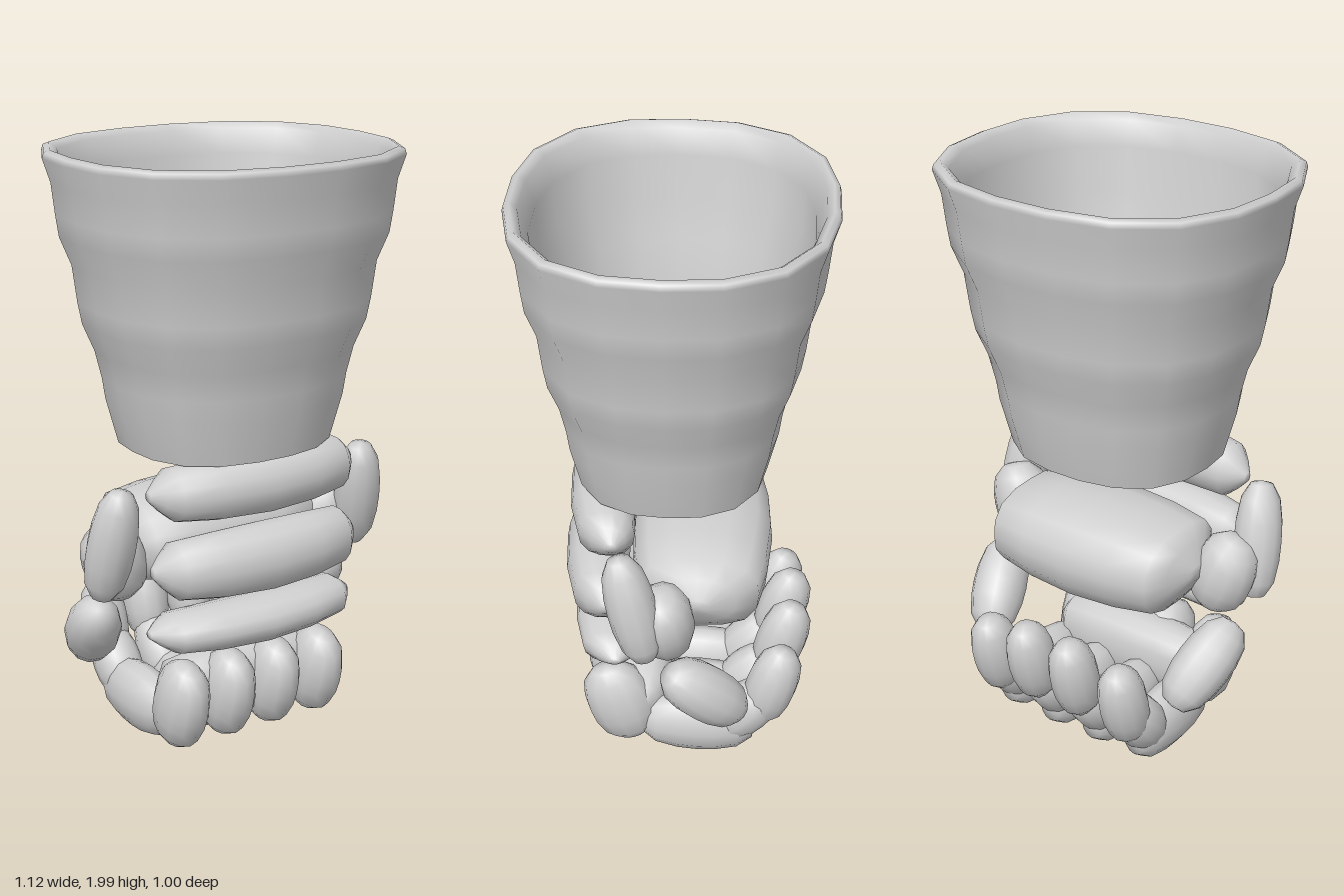
import * as THREE from 'three';
import { mergeVertices } from 'three/addons/utils/BufferGeometryUtils.js';

const steel = new THREE.MeshStandardMaterial({ color: 0xd0d0d0, side: THREE.DoubleSide });
steel.name = 'steel';

const UP = new THREE.Vector3(0, 1, 0);

// Unit plate bodies: revolved profiles of half-length 1 and radius 1,
// with an optional squarer section (power above 2) and an optional backward bow
function revolve(half, sides, power = 2, bow = 0) {
  const pts = [];
  half.forEach(([r, t]) => pts.push(new THREE.Vector2(r, -t)));
  half.slice(0, -1).reverse().forEach(([r, t]) => pts.push(new THREE.Vector2(r, t)));
  const geo = new THREE.LatheGeometry(pts, sides);
  const p = geo.attributes.position;
  for (let i = 0; i < p.count; i++) {
    const x = p.getX(i), y = p.getY(i), z = p.getZ(i), r = Math.hypot(x, z) || 1;
    const k = r === 1 && x === 0 && z === 0 ? 1
      : Math.pow(Math.abs(x / r) ** power + Math.abs(z / r) ** power, -1 / power);
    p.setXYZ(i, x * k, y, z * k - bow * y * y);
  }
  return smooth(geo);
}

// Welds seams and recomputes smooth normals
function smooth(geo) {
  geo.deleteAttribute('uv');
  geo.deleteAttribute('normal');
  const welded = mergeVertices(geo, 1e-4);
  welded.computeVertexNormals();
  return welded;
}

const barProfile = [[0, 1], [0.16, 1], [0.52, 0.91], [0.84, 0.81], [0.95, 0.45], [1, 0]];
const podShape = revolve([[0, 1], [0.47, 0.95], [0.82, 0.7], [0.97, 0.32], [1, 0]], 12);
const barShape = revolve(barProfile, 14, 2.2, 0.5);
const palmShape = revolve(barProfile, 16, 2.8);

// Places a plate by centre, axis direction, half-length and two cross radii
function plate(name, shape, centre, axis, len, rx, rz) {
  const mesh = new THREE.Mesh(shape, steel);
  mesh.name = name;
  mesh.position.set(...centre);
  mesh.quaternion.setFromUnitVectors(UP, new THREE.Vector3(...axis).normalize());
  mesh.scale.set(rx, len, rz);
  return mesh;
}

// Flared, ribbed cuff: a rounded-square lathe with an inner lining
function makeCuff() {
  const profile = [
    [0.34, 1.05], [0.379, 1.2], [0.389, 1.27], [0.41, 1.36], [0.447, 1.45], [0.46, 1.52],
    [0.475, 1.64], [0.511, 1.73], [0.521, 1.8], [0.532, 1.9], [0.556, 1.975], [0.551, 1.992],
    [0.532, 2.0], [0.507, 1.98], [0.476, 1.9], [0.47, 1.76], [0.425, 1.62], [0.408, 1.48],
    [0.378, 1.36], [0.357, 1.24], [0.336, 1.05],
  ].map(([r, y]) => new THREE.Vector2(r, y));
  const geo = new THREE.LatheGeometry(profile, 18, Math.PI / 18);
  const p = geo.attributes.position;
  const n = 2.5;
  for (let i = 0; i < p.count; i++) {
    const x = p.getX(i), z = p.getZ(i), r = Math.hypot(x, z);
    const k = Math.pow(Math.abs(x / r) ** n + Math.abs(z / r) ** n, -1 / n);
    p.setX(i, x * k);
    p.setZ(i, z * k * 0.905);
  }
  const cuff = new THREE.Mesh(smooth(geo), steel);
  cuff.name = 'cuff';
  return cuff;
}

// One curled finger, from knuckle round to tip
function makeFinger(x, inner) {
  const finger = new THREE.Group();
  finger.name = inner ? 'innerFinger' : 'outerFinger';
  const tipY = inner ? 0.365 : 0.315, tipZ = inner ? -0.378 : -0.35;
  finger.add(
    plate('fingerKnuckle', podShape, [x, 0.215, 0.165], [0, 0.93, 0.3], 0.155, 0.084, 0.115),
    plate('fingerMiddle', podShape, [x, inner ? 0.125 : 0.135, -0.1], [0, 0.03, 1], 0.2, 0.084, 0.115),
    plate('fingerLink', podShape, [x, 0.2, -0.265], [0, 0.75, -0.65], 0.13, 0.082, 0.088),
    plate('fingerTip', podShape, [x, tipY, tipZ], [0, 0.96, -0.27], 0.155, 0.08, 0.086),
  );
  return finger;
}

export function createModel() {
  const model = new THREE.Group();
  model.name = 'gauntlet';
  model.add(makeCuff());

  // Three bowed bars across the back of the hand: centre y, centre z, half height, half depth
  [[0.957, 0.228, 0.103, 0.108], [0.708, 0.25, 0.113, 0.108], [0.487, 0.224, 0.076, 0.108]]
    .forEach(([y, z, h, d]) => model.add(plate('handBar', barShape, [0, y, z], [1, 0, 0], 0.385, h, d)));

  // Large rounded palm plate, and the pad behind the finger knuckles
  model.add(
    plate('palmPlate', palmShape, [0, 0.725, -0.1], [1, 0, 0], 0.375, 0.157, 0.234),
    plate('knucklePad', palmShape, [0, 0.225, 0.09], [1, 0, 0], 0.31, 0.125, 0.1),
  );

  // Side guards and thumbs, mirrored
  for (const s of [-1, 1]) {
    model.add(
      plate('sideGuard', podShape, [s * 0.477, 0.79, 0.1], [s * 0.09, -0.96, -0.22], 0.197, 0.08, 0.08),
      plate('guardHinge', podShape, [s * 0.415, 0.695, 0.0], [s * 0.3, 0.95, 0.1], 0.138, 0.108, 0.095),
      plate('thumb', podShape, [s * 0.428, 0.41, -0.13], [s * 0.25, 0.66, 0.66], 0.172, 0.094, 0.095),
    );
  }

  // Four curled fingers
  for (const x of [-0.265, -0.088, 0.088, 0.265]) model.add(makeFinger(x, Math.abs(x) < 0.2));

  return model;
}
